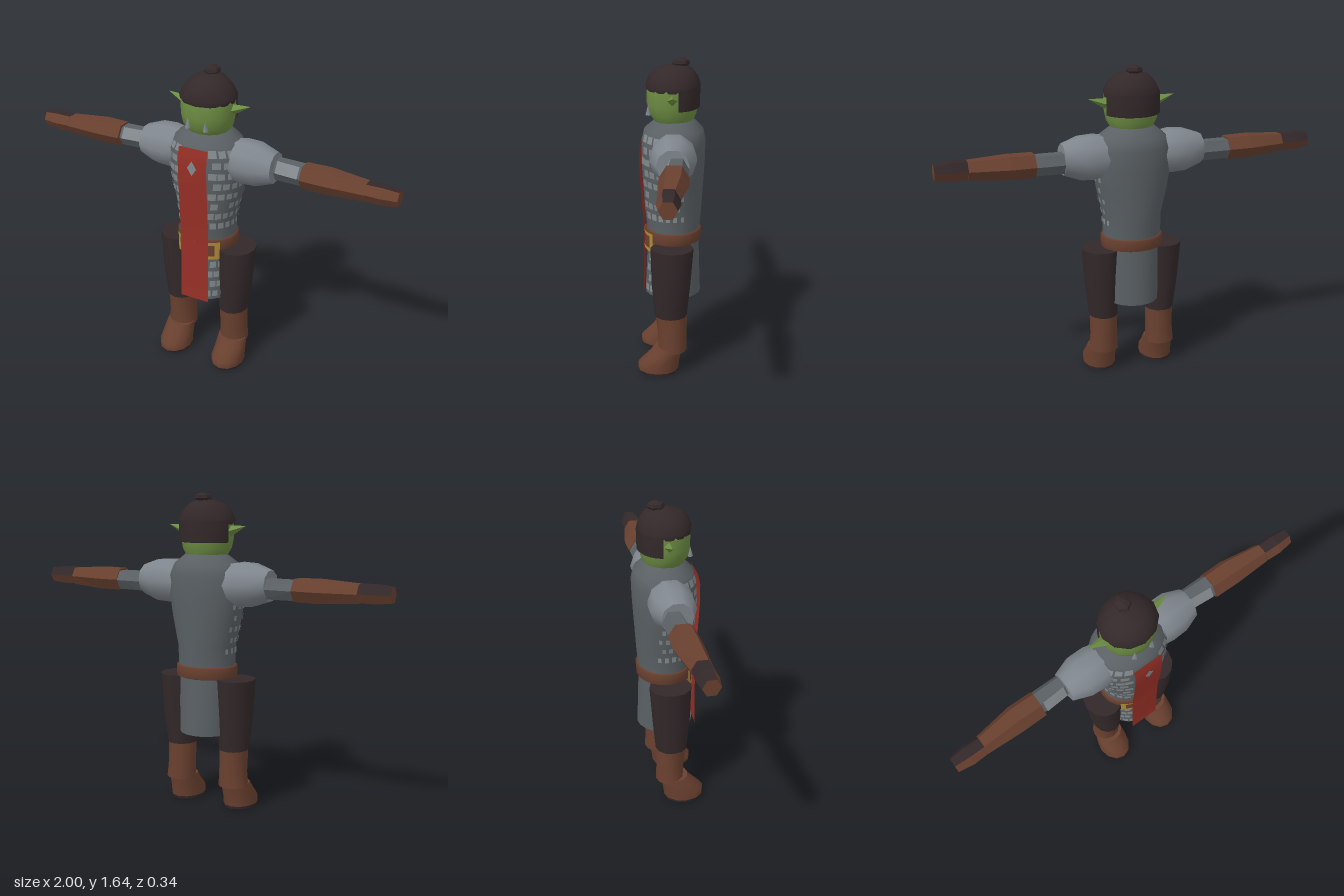
import * as THREE from 'three';
import { mergeGeometries } from 'three/addons/utils/BufferGeometryUtils.js';

const paint = (name, color, side = THREE.FrontSide) => {
  const m = new THREE.MeshStandardMaterial({ color, side });
  m.name = name;
  return m;
};

// Skin over elliptical sections [y, rx, rz, cx, cz]; angle 0 faces +z, PI/2 faces +x
function loft(sections, { segs = 16, from = -Math.PI, to = Math.PI, bottom = false, top = false, flat = false } = {}) {
  const full = to - from > 6.28;
  const cols = full ? segs : segs + 1;
  const pos = [], index = [];
  const ring = ([y, rx, rz, cx = 0, cz = 0]) => {
    const start = pos.length / 3;
    for (let j = 0; j < cols; j++) {
      const t = from + (to - from) * j / segs;
      pos.push(cx + rx * Math.sin(t), y, cz + rz * Math.cos(t));
    }
    return start;
  };
  const starts = sections.map(ring);
  for (let i = 0; i < sections.length - 1; i++) {
    for (let j = 0; j < segs; j++) {
      const k = (j + 1) % cols;
      const a = starts[i] + j, b = starts[i] + k, c = starts[i + 1] + k, d = starts[i + 1] + j;
      index.push(a, b, c, a, c, d);
    }
  }
  const cap = (s, up) => {
    const r = ring(s), centre = pos.length / 3;
    pos.push(s[3] || 0, s[0], s[4] || 0);
    for (let j = 0; j < segs; j++) {
      const k = (j + 1) % cols;
      if (up) index.push(centre, r + j, r + k);
      else index.push(centre, r + k, r + j);
    }
  };
  if (bottom) cap(sections[0], false);
  if (top) cap(sections[sections.length - 1], true);
  let g = new THREE.BufferGeometry();
  g.setAttribute('position', new THREE.Float32BufferAttribute(pos, 3));
  g.setIndex(index);
  if (flat) g = g.toNonIndexed();
  g.computeVertexNormals();
  return g;
}

// Same skin, but running out along +x at height y: sections [x, ry, rz, z]
const limb = (sections, y, opts) =>
  loft(sections.map(([x, ry, rz, z = 0, lift = 0]) => [x, ry, rz, -y - lift, z]), { flat: true, ...opts })
    .rotateZ(-Math.PI / 2);

// Mirrored copy across x with corner order restored
function mirrored(geo) {
  const g = geo.clone().scale(-1, 1, 1);
  const order = g.index ? Array.from(g.index.array) : Array.from({ length: g.attributes.position.count }, (_, i) => i);
  for (let i = 0; i < order.length; i += 3) [order[i], order[i + 1]] = [order[i + 1], order[i]];
  g.setIndex(order);
  return g;
}

const TORSO = [
  [0.40, 0.14, 0.145, 0, -0.005], [0.70, 0.15, 0.132, 0, -0.007], [0.76, 0.152, 0.136, 0, -0.007],
  [0.86, 0.152, 0.146, 0, -0.006], [1.0, 0.185, 0.155, 0, -0.006], [1.12, 0.205, 0.162, 0, -0.006],
  [1.22, 0.205, 0.163, 0, -0.008], [1.28, 0.175, 0.15, 0, -0.01], [1.33, 0.11, 0.095, 0, -0.015],
];

// Torso section at any height, pushed outward by a small offset
function torsoAt(y, out = 0) {
  let i = 0;
  while (i < TORSO.length - 2 && y > TORSO[i + 1][0]) i++;
  const a = TORSO[i], b = TORSO[i + 1], f = (y - a[0]) / (b[0] - a[0]);
  const s = a.map((v, k) => v + (b[k] - v) * f);
  return [y, s[1] + out, s[2] + out, 0, s[4]];
}
const torsoPatch = (y0, y1, from, to, out, segs = 3) =>
  loft([torsoAt(y0, out), torsoAt(y1, out)], { from, to, segs });

export function createModel() {
  const model = new THREE.Group();
  const mail = paint('dark mail', 0x5a6064, THREE.DoubleSide);
  const mailLight = paint('light mail', 0x82888c);
  const steel = paint('steel', 0x7f868d);
  const red = paint('red cloth', 0x962f26, THREE.DoubleSide);
  const leather = paint('brown leather', 0x69402f);
  const dark = paint('dark brown', 0x33282a, THREE.DoubleSide);
  const skin = paint('green skin', 0x6c8c42);
  const gold = paint('gold', 0xb08a36, THREE.DoubleSide);

  const add = (name, geo, mat) => {
    const mesh = new THREE.Mesh(geo, mat);
    mesh.name = name;
    model.add(mesh);
  };
  const pair = (name, geo, mat) => {
    add('left ' + name, geo, mat);
    add('right ' + name, mirrored(geo), mat);
  };

  // Mail shirt with an open skirt
  add('mail shirt', loft(TORSO, { segs: 20, top: true }), mail);

  // Lighter mail rings: staggered, thinning toward the sides, none on the back
  let seed = 7;
  const rnd = () => (seed = (seed * 16807) % 2147483647) / 2147483647;
  const rings = [];
  for (let row = 0; row < 15; row++) {
    const y = 0.42 + row * 0.058;
    if (y > 0.67 && y < 0.77) continue;
    for (let col = 0; col < 6; col++) {
      const t = 0.36 + col * 0.27 + (row % 2) * 0.13 + rnd() * 0.05;
      const w = 0.22 - col * 0.022, h = 0.036 - col * 0.002;
      if (rnd() < 0.08) continue;
      rings.push(torsoPatch(y, y + h, t, t + w, 0.004));
    }
  }
  pair('mail rings', mergeGeometries(rings), mailLight);

  // Belt and buckle
  add('belt', loft([torsoAt(0.695, 0), torsoAt(0.70, 0.012), torsoAt(0.755, 0.012), torsoAt(0.76, 0)], { segs: 20 }), leather);
  add('buckle plate', torsoPatch(0.66, 0.745, -0.75, 0.75, 0.013, 8), leather);
  add('buckle frame', mergeGeometries([
    torsoPatch(0.65, 0.668, -0.82, 0.82, 0.016, 8),
    torsoPatch(0.732, 0.75, -0.82, 0.82, 0.016, 8),
    torsoPatch(0.65, 0.75, -0.82, -0.65, 0.016),
    torsoPatch(0.65, 0.75, 0.65, 0.82, 0.016),
  ]), gold);

  // Tabard following the chest
  const cloth = new THREE.PlaneGeometry(0.16, 0.87, 1, 16).translate(0, 0.835, 0);
  const p = cloth.attributes.position;
  for (let i = 0; i < p.count; i++) {
    const s = torsoAt(p.getY(i));
    p.setZ(i, Math.max(s[2] + s[4] + 0.008, 0.144));
  }
  cloth.computeVertexNormals();
  add('tabard', cloth, red);
  const diamond = new THREE.CircleGeometry(1, 4).scale(0.026, 0.04, 1).translate(0, 1.17, 0.168);
  add('tabard emblem', diamond, mailLight);

  // Head, ears and tusks
  add('head', loft([
    [1.325, 0.11, 0.1, 0, -0.008], [1.36, 0.13, 0.119, 0, -0.004], [1.41, 0.139, 0.128, 0, -0.002],
    [1.47, 0.141, 0.129, 0, -0.003], [1.5, 0.138, 0.125, 0, -0.005],
  ], { segs: 14, bottom: true, top: true }), skin);
  pair('ear', limb([[0.12, 0.028, 0.03, -0.005, -0.015], [0.15, 0.024, 0.024, -0.006, -0.01], [0.225, 0.001, 0.001, -0.01, 0.014]], 1.46, { segs: 4 }), skin);
  pair('tusk', new THREE.ConeGeometry(0.016, 0.055, 4).translate(0.05, 1.385, 0.115), steel);

  // Hair cap, back hair and topknot
  add('hair cap', loft([
    [1.48, 0.142, 0.133, 0, -0.006], [1.505, 0.146, 0.138, 0, -0.006], [1.55, 0.121, 0.122, 0, -0.007],
    [1.585, 0.085, 0.09, 0, -0.012], [1.602, 0.035, 0.04, 0, -0.03],
  ], { segs: 12, bottom: true, top: true }), dark);
  add('back hair', loft([
    [1.39, 0.138, 0.128, 0, -0.006], [1.395, 0.146, 0.134, 0, -0.006], [1.49, 0.146, 0.136, 0, -0.006],
  ], { segs: 10, from: 1.8, to: 2 * Math.PI - 1.8 }), dark);
  add('topknot', loft([
    [1.59, 0.03, 0.032, 0, -0.04], [1.61, 0.042, 0.045, 0, -0.045], [1.625, 0.036, 0.04, 0, -0.046], [1.637, 0.012, 0.014, 0, -0.048],
  ], { segs: 6, top: true, flat: true }), dark);

  // Shoulder plates and arms
  pair('shoulder plate', limb([
    [0.14, 0.105, 0.105, -0.01], [0.2, 0.116, 0.116, -0.012], [0.28, 0.112, 0.114, -0.014], [0.37, 0.08, 0.08, -0.014],
  ], 1.184, { segs: 10, top: true, flat: false }), steel);
  pair('mail sleeve', limb([[0.35, 0.058, 0.055, -0.035], [0.52, 0.056, 0.06, -0.03]], 1.173, { segs: 6, top: true }), mail);
  pair('sleeve ring patch', limb([[0.38, 0.062, 0.06, -0.035], [0.5, 0.06, 0.064, -0.03]], 1.173, { segs: 1, from: -Math.PI / 3, to: 0 }), mailLight);
  pair('forearm guard', limb([
    [0.515, 0.064, 0.07, -0.024], [0.64, 0.066, 0.072, -0.024], [0.84, 0.052, 0.052, -0.012],
  ], 1.175, { segs: 6, top: true, bottom: true }), leather);
  const HAND = [[0.84, 0.05, 0.05, -0.01], [0.92, 0.052, 0.054, -0.01], [1.0, 0.043, 0.042, -0.01]];
  pair('glove palm', limb(HAND, 1.177, { segs: 4, from: -Math.PI / 3, to: Math.PI }), leather);
  pair('glove back', limb(HAND, 1.177, { segs: 2, from: -Math.PI, to: -Math.PI / 3 }), dark);
  pair('glove tip', limb([[0.999, 0.043, 0.042, -0.01], [1.0, 0.043, 0.042, -0.01]], 1.177, { segs: 6, top: true }), leather);

  // Legs and boots
  pair('trouser leg', loft([
    [0.32, 0.077, 0.084, 0.158, 0.002], [0.5, 0.09, 0.1, 0.166, 0], [0.695, 0.102, 0.11, 0.168, -0.005],
  ], { segs: 12, top: true, bottom: true }), dark);
  pair('boot shaft', loft([
    [0.125, 0.079, 0.074, 0.16, -0.008], [0.2, 0.073, 0.074, 0.158, -0.006], [0.335, 0.073, 0.081, 0.158, 0.001],
  ], { segs: 12, bottom: true, top: true }), leather);
  pair('boot foot', loft([
    [0.015, 0.086, 0.106, 0.163, 0.068], [0.05, 0.086, 0.108, 0.163, 0.066], [0.1, 0.082, 0.085, 0.162, 0.035], [0.14, 0.077, 0.074, 0.16, 0.016],
  ], { segs: 12, top: true }), leather);
  pair('boot sole', loft([
    [0, 0.083, 0.1, 0.163, 0.066], [0.016, 0.086, 0.106, 0.163, 0.068],
  ], { segs: 12, bottom: true }), dark);

  return model;
}
